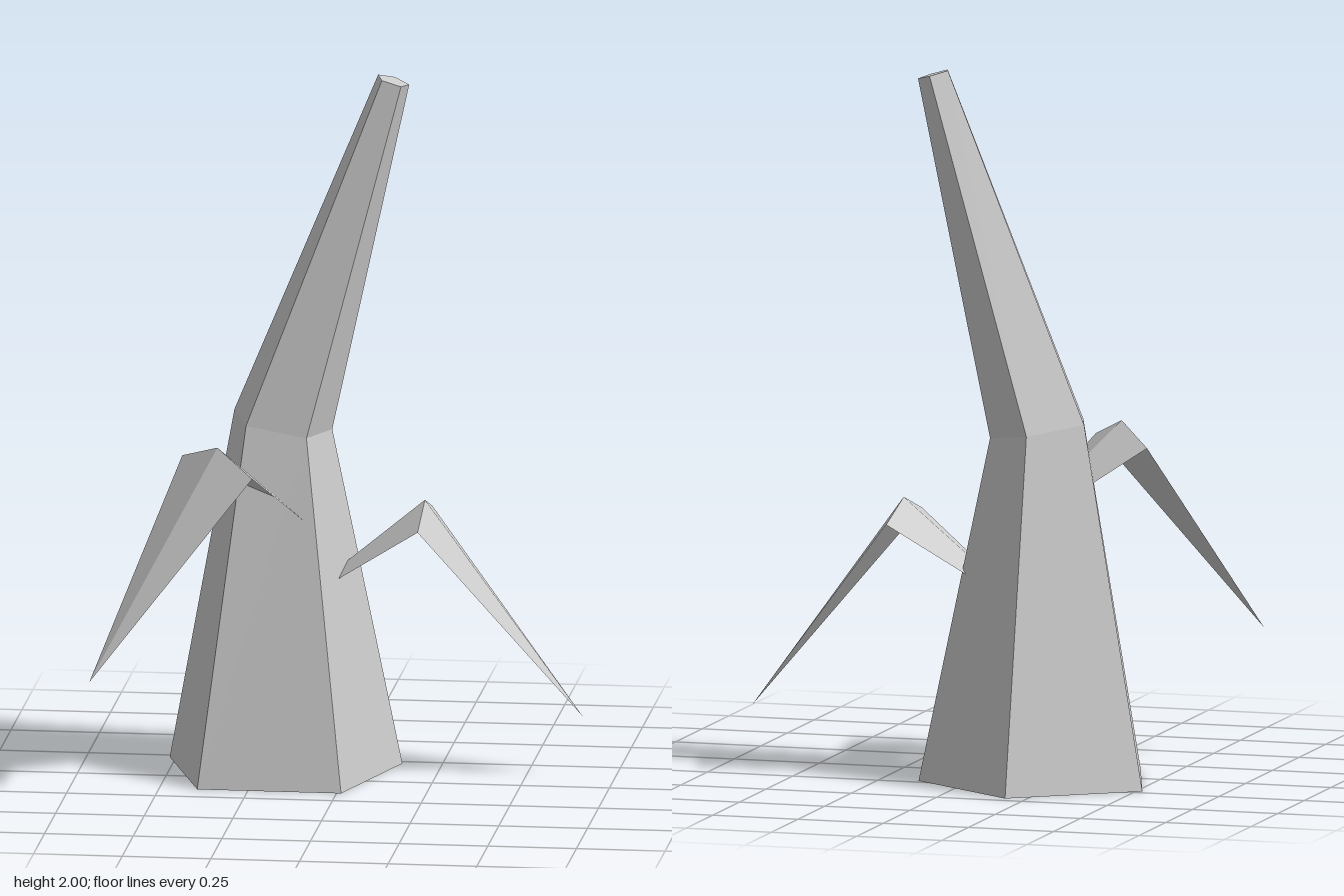
import * as THREE from 'three';

const SIDES = 5;

// Flat-shaded mesh from a list of triangles, each with three Vector3 corners
function facetMesh(name, triangles, side = THREE.FrontSide) {
  const geometry = new THREE.BufferGeometry().setFromPoints(triangles.flat());
  geometry.computeVertexNormals();
  const material = new THREE.MeshStandardMaterial({ color: 0xcccccc, flatShading: true, side });
  const mesh = new THREE.Mesh(geometry, material);
  mesh.name = name;
  return mesh;
}

// Pentagonal ring; slope tilts it along x
function ring({ x, y, z, r, slope }) {
  return Array.from({ length: SIDES }, (_, i) => {
    const a = Math.PI + (i / SIDES) * Math.PI * 2;
    const dx = r * Math.sin(a);
    return new THREE.Vector3(x + dx, y + slope * dx, z + r * Math.cos(a));
  });
}

// Closed trunk skinned through successive rings
function makeTrunk(sections) {
  const rings = sections.map(ring);
  const triangles = [];
  for (let k = 0; k < rings.length - 1; k++) {
    const low = rings[k], high = rings[k + 1];
    for (let i = 0; i < SIDES; i++) {
      const j = (i + 1) % SIDES;
      triangles.push([low[i], low[j], high[j]], [low[i], high[j], high[i]]);
    }
  }
  const bottom = rings[0], top = rings[rings.length - 1];
  for (let i = 1; i < SIDES - 1; i++) {
    triangles.push([bottom[0], bottom[i + 1], bottom[i]], [top[0], top[i], top[i + 1]]);
  }
  return facetMesh('trunk', triangles);
}

// Bent leaf: stem point, raised ridge, two drooping side corners and a tip
function makeLeaf(name, root, ridge, sideA, sideB, tip) {
  const [s, r, a, b, t] = [root, ridge, sideA, sideB, tip].map((p) => new THREE.Vector3(...p));
  return facetMesh(name, [[s, a, r], [s, r, b], [a, t, r], [r, t, b]], THREE.DoubleSide);
}

export function createModel() {
  const model = new THREE.Group();
  model.name = 'leaningPlant';

  model.add(makeTrunk([
    { x: -0.19, y: 0, z: -0.12, r: 0.345, slope: 0 },
    { x: -0.19, y: 0.995, z: -0.12, r: 0.145, slope: -0.18 },
    { x: 0.125, y: 1.987, z: -0.12, r: 0.046, slope: -0.3 },
  ]));

  // Leaves grow out of the lower trunk
  model.add(makeLeaf('leftLeaf',
    [-0.19, 0.45, -0.12], [0.215, 0.785, -0.12],
    [0.215, 0.73, 0.05], [0.215, 0.73, -0.285], [0.66, 0.175, -0.12]));
  model.add(makeLeaf('frontRightLeaf',
    [-0.04, 0.65, -0.105], [-0.335, 0.985, 0.165],
    [-0.45, 0.93, 0.035], [-0.222, 0.926, 0.285], [-0.66, 0.37, 0.46]));

  return model;
}
